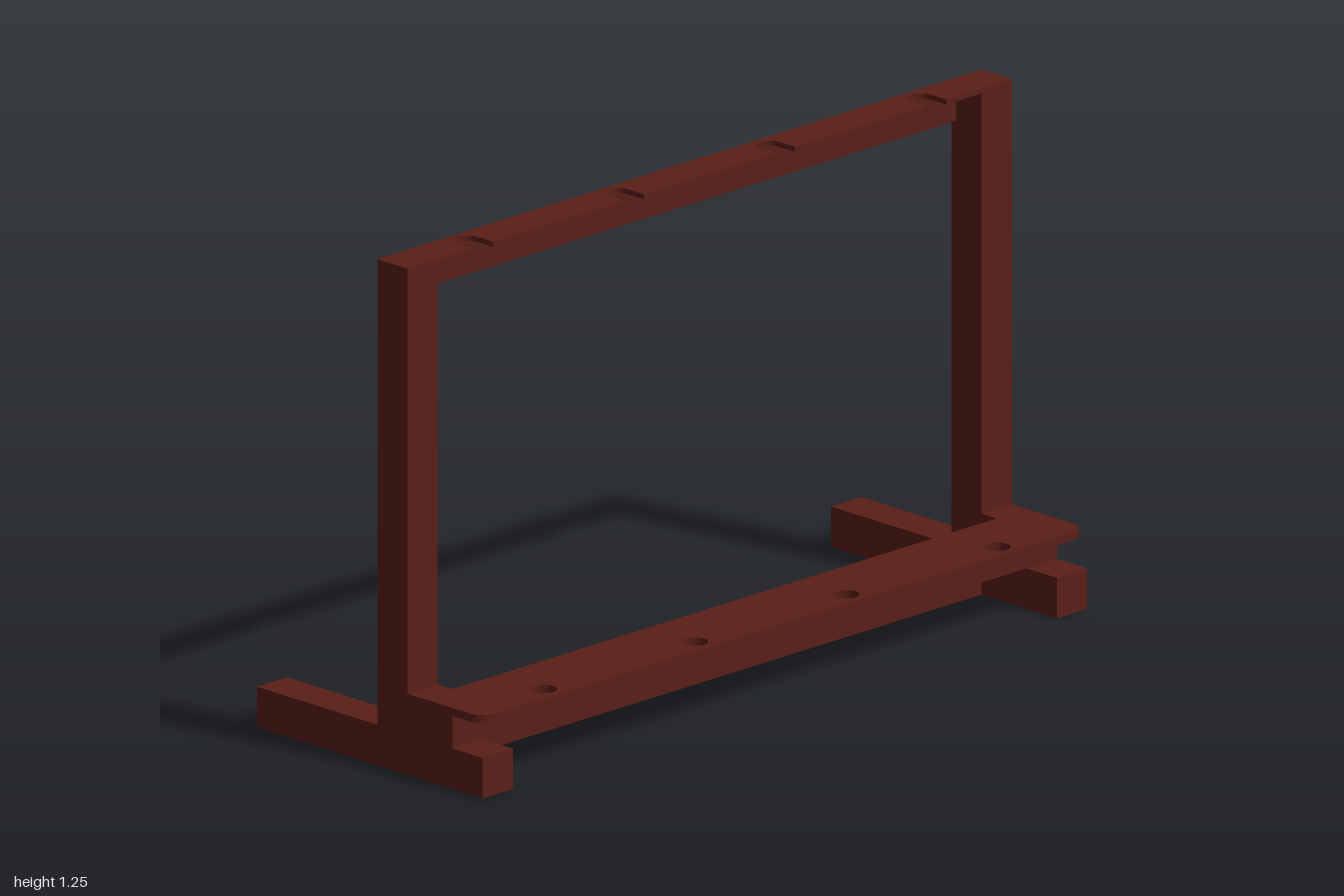
import * as THREE from 'three';

export function createModel() {
  const group = new THREE.Group();
  const material = new THREE.MeshStandardMaterial({ color: 0x5a1f18, flatShading: true });
  const slots = [-0.75, -0.25, 0.25, 0.75];
  const R = 0.033;

  function add(name, geometry) {
    const mesh = new THREE.Mesh(geometry, material);
    mesh.name = name;
    group.add(mesh);
  }

  // Box given by its minimum and maximum corners
  function box(name, [x0, y0, z0], [x1, y1, z1]) {
    const g = new THREE.BoxGeometry(x1 - x0, y1 - y0, z1 - z0);
    add(name, g.translate((x0 + x1) / 2, (y0 + y1) / 2, (z0 + z1) / 2));
  }

  // Horizontal plate from an outline drawn in (x, z), hanging down from top
  function plate(name, shape, top, thickness) {
    const g = new THREE.ExtrudeGeometry(shape, { depth: thickness, bevelEnabled: false, curveSegments: 12 });
    add(name, g.rotateX(Math.PI / 2).translate(0, top, 0));
  }

  // Feet, posts and the blocks tying the shelf to the posts
  for (const [side, x] of [['right', -1], ['left', 0.9]]) {
    box(side + 'Foot', [x, 0, -0.375], [x + 0.1, 0.1, 0.375]);
    box(side + 'Post', [x, 0.1, 0.025], [x + 0.1, 1.25, 0.125]);
    box(side + 'ShelfBlock', [x, 0.1, 0.125], [x + 0.1, 0.18, 0.175]);
  }

  // Lower rail and the beam under the shelf
  box('lowerRail', [-0.9, 0, 0.025], [0.9, 0.1, 0.125]);
  box('shelfBeam', [-1, 0.1, 0.175], [1, 0.18, 0.275]);

  // Shelf with rounded front corners, ears reaching the posts and round holes
  const c = 0.045;
  const shelf = new THREE.Shape();
  shelf.moveTo(-0.9, 0.125);
  shelf.lineTo(-0.9, 0.175);
  shelf.lineTo(0.9, 0.175);
  shelf.lineTo(0.9, 0.125);
  shelf.lineTo(1, 0.125);
  shelf.lineTo(1, 0.375 - c);
  shelf.absarc(1 - c, 0.375 - c, c, 0, Math.PI / 2, false);
  shelf.lineTo(-1 + c, 0.375);
  shelf.absarc(-1 + c, 0.375 - c, c, Math.PI / 2, Math.PI, false);
  shelf.lineTo(-1, 0.125);
  shelf.closePath();
  for (const x of slots) {
    shelf.holes.push(new THREE.Path().absarc(x, 0.325, R, 0, Math.PI * 2, true));
  }
  plate('shelf', shelf, 0.2, 0.02);

  // Upper rail: thin back panel below a lip with U-shaped notches
  const lipY = 1.2375;
  box('upperRailPanel', [-0.9, 1.15, 0.025], [0.9, lipY, 0.04]);
  const lip = new THREE.Shape();
  lip.moveTo(0.9, 0.025);
  lip.lineTo(0.9, 0.125);
  for (const x of [...slots].reverse()) {
    lip.lineTo(x + R, 0.125);
    lip.lineTo(x + R, 0.04 + R);
    lip.absarc(x, 0.04 + R, R, 0, -Math.PI, true);
    lip.lineTo(x - R, 0.125);
  }
  lip.lineTo(-0.9, 0.125);
  lip.lineTo(-0.9, 0.025);
  lip.closePath();
  plate('notchedLip', lip, 1.25, 1.25 - lipY);

  return group;
}
